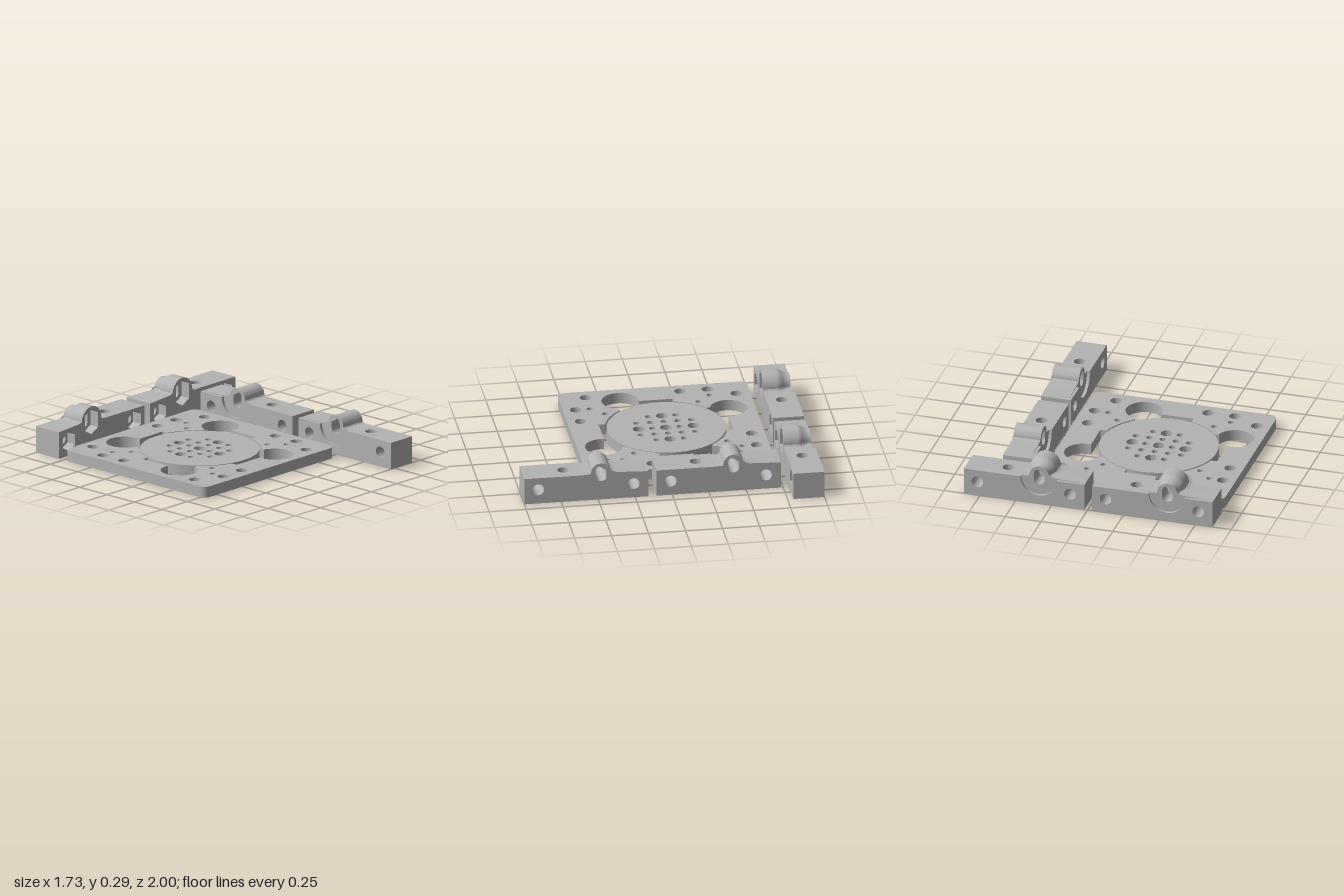
import * as THREE from 'three';
import { toCreasedNormals } from 'three/addons/utils/BufferGeometryUtils.js';

const grey = new THREE.MeshStandardMaterial({ color: 0xb3b3b3 });
grey.name = 'grey';

const V = (x, y) => new THREE.Vector2(x, y);

// points on an arc, angles in degrees
function arc(cx, cy, r, from, to, n) {
  return Array.from({ length: n + 1 }, (_, i) => {
    const a = THREE.MathUtils.degToRad(from + ((to - from) * i) / n);
    return V(cx + r * Math.cos(a), cy + r * Math.sin(a));
  });
}
const circle = (x, y, r) => arc(x, y, r, 0, 348.75, 31);
const rect = (x0, y0, x1, y1) => [V(x0, y0), V(x1, y0), V(x1, y1), V(x0, y1)];
// pointed-top hexagon and slot, both stretched upward and downward by e
const hexagon = (x, y, r, e = 0) =>
  arc(x, y, r, 30, 330, 5).map((p) => V(p.x, p.y + Math.sign(Math.round((p.y - y) * 1e4)) * e));
const slot = (x, y, r, e) => [...arc(x, y + e, r, 0, 180, 16), ...arc(x, y - e, r, 180, 360, 16)];

function slab(outline, holes, from, to, steps = 1) {
  const shape = new THREE.Shape(outline);
  shape.holes = holes.map((h) => new THREE.Path(h));
  const g = new THREE.ExtrudeGeometry(shape, { depth: to - from, bevelEnabled: false, steps });
  return g.translate(0, 0, from);
}

function mesh(name, geometry) {
  const m = new THREE.Mesh(toCreasedNormals(geometry, 0.6), grey);
  m.name = name;
  return m;
}

const L = 0.84, H = 0.185, W = 0.21, HUMP = 0.32, END = 0.1, FAR = 0.745;
const U0 = 0.455, U1 = 0.665;

// outline of the humped half of a bracket
const humpOutline = [
  V(0, 0), V(U0, 0), V(U0, H), V(0.442, H), V(0.425, 0.19), V(0.417, 0.2),
  ...arc(HUMP, 0.2, 0.095, 0, 180, 24),
  V(0.222, 0.206), V(0.21, 0.2), V(0.19, 0.197), V(0, H),
];

// shrink the hump according to depth, leaving the base and the bore alone
function shapeHump(g, scaleAt) {
  const p = g.attributes.position;
  for (let i = 0; i < p.count; i++) {
    const x = p.getX(i), y = p.getY(i);
    if (y < H + 0.001 || Math.hypot(x - HUMP, y - 0.195) < 0.07) continue;
    const s = scaleAt(p.getZ(i));
    p.setXY(i, HUMP + (x - HUMP) * s, H + (y - H) * s);
  }
  g.computeVertexNormals();
  return g;
}

// mounting bracket; nutPockets adds hexagonal pockets and the flared hump
function bracket(name, nutPockets) {
  const b = new THREE.Group();
  b.name = name;
  const bore = slot(HUMP, 0.19, 0.037, 0.02);
  const endHole = circle(END, 0.1, 0.04), farHole = circle(FAR, 0.1, 0.04);
  const farBlock = rect(U1, 0, L, H);
  // thin face layer with the round recess
  const recess = [V(0, 0), V(U0, 0), V(U0, H), ...arc(HUMP, H, 0.125, 0, -180, 32), V(0, H)];

  if (nutPockets) {
    const flare = (w) => 0.73 + 0.27 * THREE.MathUtils.smoothstep(w, 0.04, 0.11);
    b.add(
      mesh('recessedFace', slab(recess, [endHole], 0, 0.02)),
      mesh('humpBody', shapeHump(slab(humpOutline, [endHole, bore], 0.02, 0.14, 12), flare)),
      mesh('humpNutPocket', slab(humpOutline,
        [hexagon(END, 0.1, 0.07), hexagon(HUMP, 0.19, 0.075, 0.015)], 0.14, W)),
      mesh('farEnd', slab(farBlock, [farHole], 0, 0.14)),
      mesh('farNutPocket', slab(farBlock, [hexagon(FAR, 0.1, 0.07)], 0.14, W)),
    );
  } else {
    b.add(
      mesh('humpBody', shapeHump(slab(humpOutline, [endHole, bore], 0, 0.19), () => 0.72)),
      mesh('recessedFace', slab(recess, [endHole], 0.19, W)),
      mesh('farEnd', slab(farBlock, [farHole], 0, W)),
    );
  }

  // middle block with a vertical screw hole and a nut pocket beneath
  const middle = rect(U0, -W, U1, 0);
  const lower = slab(middle, [hexagon(0.56, -0.105, 0.065)], 0, 0.07);
  const upper = slab(middle, [circle(0.56, -0.105, 0.04)], 0.07, H);
  b.add(mesh('middleNutPocket', lower.rotateX(-Math.PI / 2)));
  b.add(mesh('middleBlock', upper.rotateX(-Math.PI / 2)));
  return b;
}

// quarter turns, clockwise
const turn = (p, k) => {
  let q = p;
  for (let i = 0; i < k; i++) q = V(q.y, -q.x);
  return q;
};

function basePlate() {
  const h = 0.64, r = 0.05, c = h - r;
  const outline = [0, 90, 180, 270].flatMap((a) => {
    const sx = a === 0 || a === 270 ? 1 : -1, sy = a < 180 ? 1 : -1;
    return arc(sx * c, sy * c, r, a, a + 90, 8);
  });
  // one quarter of the central opening: notch, rim, round lobe
  const quarter = [
    V(0.11, 0.44), ...arc(0, 0, 0.41, 74.4, 40, 14), ...arc(0.46, 0.24, 0.125, 168, -100, 32),
  ];
  const screws = [
    [0.365, 0.555, 0.04], [0.545, 0.46, 0.04], [0.18, 0.55, 0.04],
    [0.365, 0.46, 0.021], [0.275, 0.37, 0.021],
  ];
  const opening = [], holes = [];
  for (let k = 0; k < 4; k++) {
    opening.push(...quarter.map((p) => turn(p, k)));
    for (const [x, y, rad] of screws) {
      const q = turn(V(x, y), k);
      holes.push(circle(q.x, q.y, rad));
    }
  }
  return mesh('basePlate', slab(outline, [opening, ...holes], 0, 0.075).rotateX(-Math.PI / 2));
}

// round disc with a pattern of large and small holes
function disc() {
  const holes = [], step = 0.0925;
  for (let i = -2; i <= 2; i++) {
    for (let j = -2; j <= 2; j++) {
      if (Math.abs(i) === 2 && Math.abs(j) === 2) continue;
      const large = i % 2 === 0 && j % 2 === 0;
      holes.push(circle(i * step, j * step, large ? 0.041 : 0.023));
    }
  }
  return mesh('centreDisc', slab(arc(0, 0, 0.4, 0, 355, 71), holes, 0, 0.075).rotateX(-Math.PI / 2));
}

export function createModel() {
  const model = new THREE.Group();
  model.name = 'mountingPlateKit';

  for (const part of [basePlate(), disc()]) {
    part.position.set(-0.23, 0, -0.1);
    model.add(part);
  }

  // two flared brackets along the back
  [-0.87, 0.023].forEach((x, i) => {
    const b = bracket('backBracket' + (i + 1), true);
    b.position.set(x, 0, -1);
    model.add(b);
  });

  // two plain brackets along the side
  [-0.735, 0.16].forEach((z, i) => {
    const b = bracket('sideBracket' + (i + 1), false);
    b.rotation.y = -Math.PI / 2;
    b.position.set(0.67, 0, z);
    model.add(b);
  });
  return model;
}
